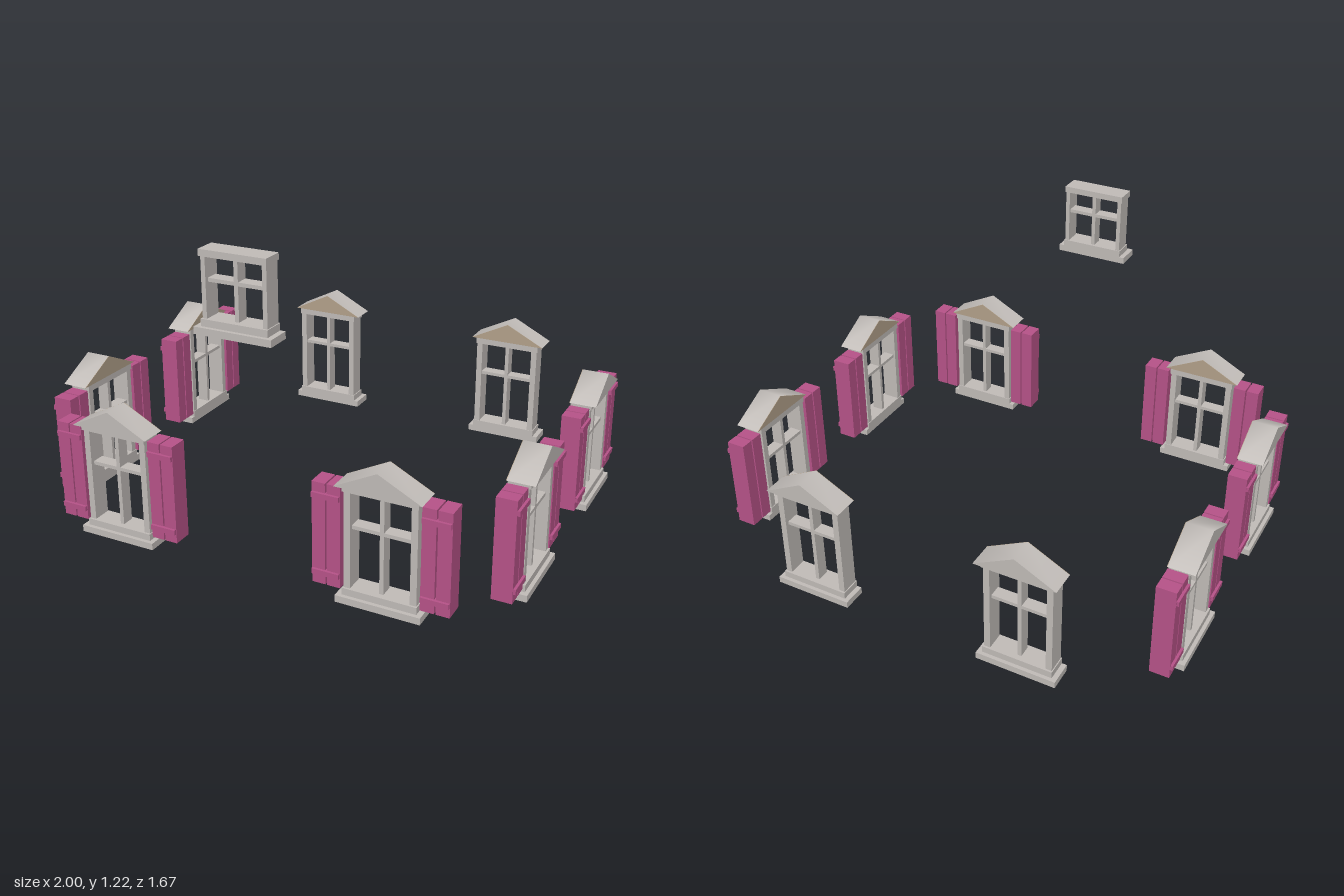
import * as THREE from 'three';
import { toCreasedNormals } from 'three/addons/utils/BufferGeometryUtils.js';

const stone = new THREE.MeshStandardMaterial({ color: 0xc3beba });
stone.name = 'warm grey stone';
const pink = new THREE.MeshStandardMaterial({ color: 0xb9548a });
pink.name = 'magenta paint';
const tan = new THREE.MeshStandardMaterial({ color: 0xb5a38c });
tan.name = 'tan backing';

// Box given by its limits on each axis
function box(parent, name, material, x0, x1, y0, y1, z0, z1) {
  const mesh = new THREE.Mesh(new THREE.BoxGeometry(x1 - x0, y1 - y0, z1 - z0), material);
  mesh.position.set((x0 + x1) / 2, (y0 + y1) / 2, (z0 + z1) / 2);
  mesh.name = name;
  parent.add(mesh);
}

// Open casement: sill, rails, jambs and glazing bars; the wall plane is z = 0
function makeFrame({ sill, half, inner, top, bar }) {
  const frame = new THREE.Group();
  frame.name = 'windowFrame';
  box(frame, 'sill', stone, -sill, sill, 0, 0.027, 0, 0.1);
  box(frame, 'bottomRail', stone, -half, half, 0.027, 0.054, 0, 0.085);
  box(frame, 'lintel', stone, -half, half, top - 0.025, top, 0, 0.085);
  for (const s of [-1, 1]) {
    const a = s * inner, b = s * (half - 0.004);
    box(frame, 'jamb', stone, Math.min(a, b), Math.max(a, b), 0.054, top - 0.025, 0.003, 0.077);
  }
  box(frame, 'mullion', stone, -0.008, 0.008, 0.054, top - 0.025, 0.012, 0.062);
  box(frame, 'crossBar', stone, -inner, inner, bar - 0.007, bar + 0.007, 0.012, 0.062);
  return frame;
}

// Triangular prism with the ridge softly shaded
function makePrism(name, material, z0, z1) {
  const shape = new THREE.Shape();
  shape.moveTo(-0.164, 0.457);
  shape.lineTo(0.164, 0.457);
  shape.lineTo(0, 0.54);
  shape.closePath();
  const geometry = new THREE.ExtrudeGeometry(shape, { depth: z1 - z0, bevelEnabled: false });
  const mesh = new THREE.Mesh(toCreasedNormals(geometry, 1), material);
  mesh.position.z = z0;
  mesh.name = name;
  return mesh;
}

// Pair of two-board shutters with two battens each
function makeShutters() {
  const pair = new THREE.Group();
  pair.name = 'shutters';
  for (const s of [-1, 1]) {
    const leaf = new THREE.Group();
    leaf.name = s > 0 ? 'leftShutter' : 'rightShutter';
    for (const c of [0.178, 0.236]) {
      box(leaf, 'board', pink, s * c - 0.026, s * c + 0.026, 0.044, 0.442, 0, 0.078);
    }
    for (const y of [0.092, 0.395]) {
      box(leaf, 'batten', pink, s * 0.207 - 0.053, s * 0.207 + 0.053, y - 0.01, y + 0.01, 0.04, 0.088);
    }
    pair.add(leaf);
  }
  return pair;
}

// Tall window with a gable and optional shutters
function makeGabledWindow(shuttered) {
  const win = new THREE.Group();
  win.add(makeFrame({ sill: 0.163, half: 0.143, inner: 0.114, top: 0.457, bar: 0.29 }));
  win.add(makePrism('gable', stone, 0.002, 0.107));
  win.add(makePrism('gableBacking', tan, 0, 0.002));
  if (shuttered) win.add(makeShutters());
  return win;
}

export function createModel() {
  const model = new THREE.Group();
  model.name = 'windowSet';

  function place(win, name, x, y, z, turn) {
    win.name = name;
    win.position.set(x, y, z);
    win.rotation.y = turn;
    model.add(win);
  }

  for (const s of [-1, 1]) {
    const side = s > 0 ? 'left' : 'right';
    place(makeGabledWindow(true), side + 'FrontWindow', s * 0.55, 0, 0.73, 0);
    place(makeGabledWindow(false), side + 'BackWindow', s * 0.45, 0, -0.73, Math.PI);
    // Two windows on each side wall
    for (const z of [-0.37, 0.37]) {
      const name = side + (z > 0 ? 'SideFrontWindow' : 'SideRearWindow');
      place(makeGabledWindow(true), name, s * 0.893, 0, z, s * Math.PI / 2);
    }
  }

  // Small upper window above the front
  const upper = makeFrame({ sill: 0.153, half: 0.132, inner: 0.111, top: 0.302, bar: 0.19 });
  place(upper, 'upperWindow', 0, 0.913, 0.73, 0);
  return model;
}
